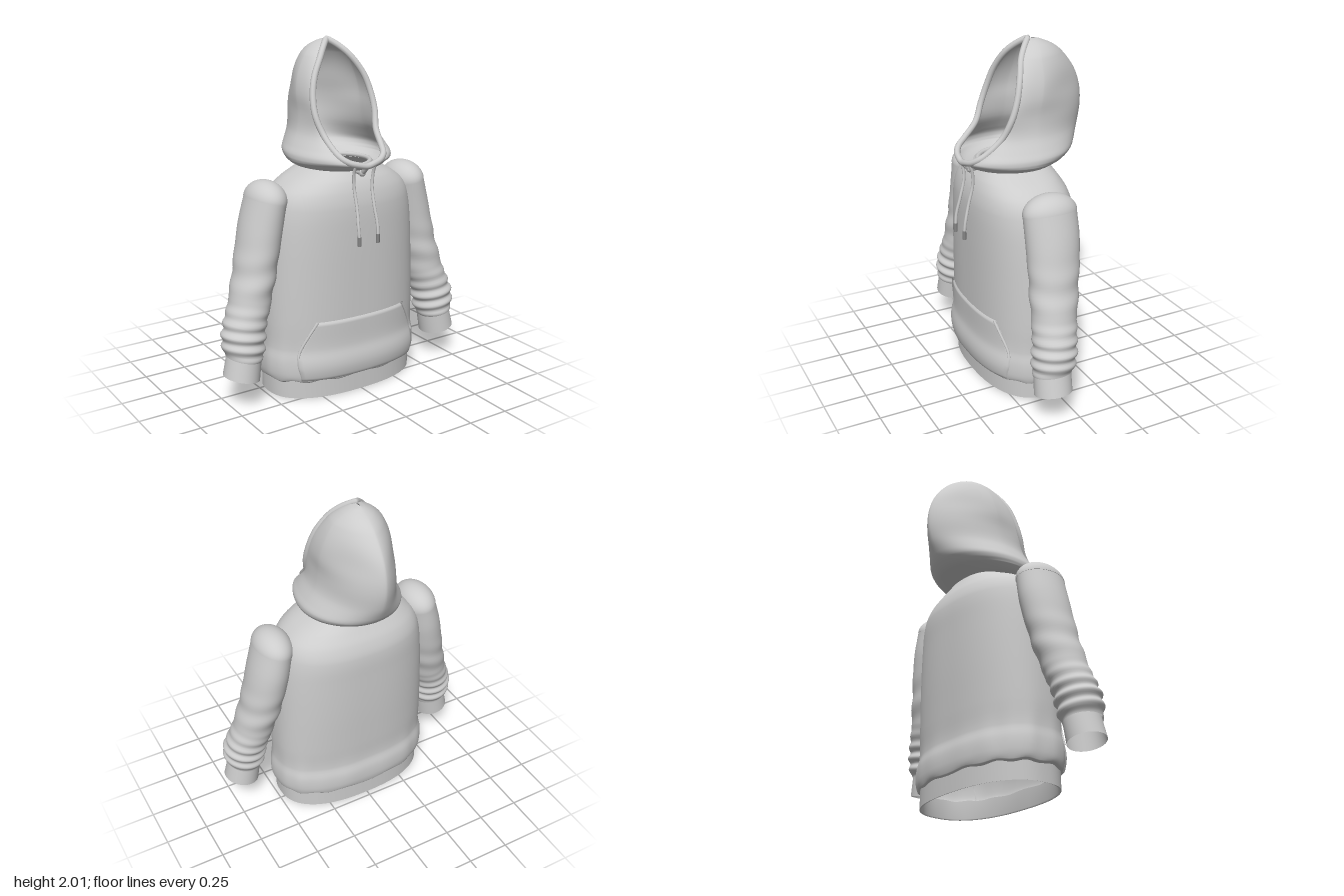
import * as THREE from 'three';

const V = (x, y, z) => new THREE.Vector3(x, y, z);

// smooth lookup in a table of rows [y, a, b, ...] sorted by y
function at(keys, y) {
  let i = 0;
  while (i < keys.length - 2 && y > keys[i + 1][0]) i++;
  const k0 = keys[Math.max(i - 1, 0)], k1 = keys[i], k2 = keys[i + 1], k3 = keys[Math.min(i + 2, keys.length - 1)];
  const h = k2[0] - k1[0], t = (y - k1[0]) / h, t2 = t * t, t3 = t2 * t;
  return k1.slice(1).map((a, j) => {
    const b = k2[j + 1];
    const m1 = (b - k0[j + 1]) / (k2[0] - k0[0]) * h, m2 = (k3[j + 1] - a) / (k3[0] - k1[0]) * h;
    return (2 * t3 - 3 * t2 + 1) * a + (t3 - 2 * t2 + t) * m1 + (3 * t2 - 2 * t3) * b + (t3 - t2) * m2;
  });
}

// heights between the rows of a table
function levels(keys, sub) {
  const out = [];
  for (let i = 0; i < keys.length - 1; i++)
    for (let j = 0; j < sub; j++) out.push(keys[i][0] + (keys[i + 1][0] - keys[i][0]) * j / sub);
  out.push(keys[keys.length - 1][0]);
  return out;
}

// skin over cross-sections
function loft(rows, closed) {
  const n = rows[0].length, pos = [], idx = [];
  rows.forEach(r => r.forEach(p => pos.push(p.x, p.y, p.z)));
  for (let i = 0; i < rows.length - 1; i++)
    for (let j = 0; j < (closed ? n : n - 1); j++) {
      const k = (j + 1) % n, a = i * n + j, b = i * n + k, c = a + n, d = b + n;
      idx.push(a, c, b, b, c, d);
    }
  const g = new THREE.BufferGeometry();
  g.setAttribute('position', new THREE.Float32BufferAttribute(pos, 3));
  g.setIndex(idx);
  g.computeVertexNormals();
  return g;
}

const bump = (x, c, w) => Math.exp(-(((x - c) / w) ** 2));

// body: y, half width, front z, back z
const BODY = [
  [0.1, 0.475, 0.322, -0.215], [0.112, 0.492, 0.338, -0.228], [0.16, 0.502, 0.347, -0.237], [0.23, 0.5, 0.346, -0.234],
  [0.3, 0.488, 0.337, -0.217], [0.45, 0.487, 0.338, -0.222], [0.7, 0.478, 0.34, -0.232], [0.95, 0.463, 0.341, -0.236],
  [1.1, 0.44, 0.337, -0.234], [1.18, 0.405, 0.322, -0.21], [1.24, 0.335, 0.298, -0.175], [1.28, 0.26, 0.27, -0.15],
  [1.315, 0.19, 0.24, -0.13]];
// hood: y, edge x, edge z, side x, side z, back z, sharpness of back
const HOOD = [
  [1.295, 0, 0.27, 0.2, 0.05, -0.13, 1], [1.31, 0, 0.325, 0.25, 0.05, -0.17, 1], [1.335, 0, 0.357, 0.282, 0.05, -0.24, 1],
  [1.345, 0.05, 0.354, 0.287, 0.05, -0.26, 1], [1.36, 0.1, 0.342, 0.291, 0.04, -0.28, 1], [1.385, 0.138, 0.315, 0.288, 0.03, -0.305, 1],
  [1.42, 0.157, 0.27, 0.268, 0.02, -0.328, 1.05], [1.5, 0.176, 0.19, 0.226, 0, -0.365, 1.2], [1.6, 0.198, 0.145, 0.211, -0.01, -0.386, 1.3],
  [1.7, 0.192, 0.11, 0.212, -0.03, -0.379, 1.35], [1.8, 0.163, 0.08, 0.19, -0.05, -0.342, 1.35], [1.9, 0.1, 0.04, 0.142, -0.06, -0.265, 1.3],
  [1.95, 0.055, 0, 0.092, -0.075, -0.2, 1.2], [1.98, 0.018, -0.035, 0.04, -0.08, -0.13, 1.1], [1.99, 0, -0.05, 0.004, -0.075, -0.1, 1]];
// sleeve: y, centre x, centre z, half width, half depth
const SLEEVE = [
  [0.29, 0.675, 0.137, 0.1, 0.11], [0.32, 0.672, 0.133, 0.116, 0.12], [0.4, 0.664, 0.125, 0.123, 0.125], [0.48, 0.645, 0.113, 0.118, 0.125],
  [0.6, 0.603, 0.095, 0.116, 0.13], [0.8, 0.55, 0.07, 0.117, 0.144], [1.0, 0.505, 0.056, 0.117, 0.155], [1.15, 0.472, 0.057, 0.107, 0.156]];
const TILT = 0.22, POWER = 2.4;

function bodyRing(rx, zf, zb, y, ripple = 0) {
  const zc = 0.055, ring = [];
  for (let j = 0; j < 96; j++) {
    const a = j / 96 * Math.PI * 2, c = Math.cos(a), s = Math.sin(a);
    const f = 1 + ripple * (Math.sin(9 * a + 1) + 0.7 * Math.sin(17 * a));
    const x = Math.sign(c) * Math.abs(c) ** (2 / POWER) * rx * f;
    const z = zc + Math.sign(s) * Math.abs(s) ** (2 / POWER) * (s > 0 ? zf - zc : zc - zb) * f;
    ring.push(V(x, y + bump(y, 0.1, 0.02) * 0.006 * Math.sin(13 * a), z));
  }
  return ring;
}

function frontZ(x, y) {
  const [rx, zf] = at(BODY, y);
  return 0.055 + (zf - 0.055) * (1 - Math.min(1, Math.abs(x) / rx) ** POWER) ** (1 / POWER);
}

function sleeveRing(y, cx, cz, hw, hd, s, wrinkle) {
  const ring = [];
  for (let j = 0; j < 48; j++) {
    const a = -s * j / 48 * Math.PI * 2;
    const w = wrinkle ? 0.008 * bump(y, 0.4, 0.13) * Math.sin(y * 95 + 1.3 * Math.sin(a + 0.6))
      + 0.005 * bump(y, 0.72, 0.13) * Math.sin(y * 38 + 2 * Math.cos(a)) : 0;
    const u = Math.cos(a) * (hw + w);
    ring.push(V(s * (cx + u * Math.cos(TILT)), y + u * Math.sin(TILT), cz - Math.sin(a) * (hd + w)));
  }
  return ring;
}

export function createModel() {
  const group = new THREE.Group();
  const fabric = new THREE.MeshStandardMaterial({ color: 0xcccccc, side: THREE.DoubleSide });
  fabric.name = 'light grey fabric';
  const metal = new THREE.MeshStandardMaterial({ color: 0x858585 });
  metal.name = 'dark grey tip';
  const add = (name, geo, mat = fabric) => {
    const m = new THREE.Mesh(geo, mat);
    m.name = name;
    group.add(m);
    return m;
  };
  const tube = (pts, r, closed = false, n = 40) =>
    new THREE.TubeGeometry(new THREE.CatmullRomCurve3(pts, closed), n, r, 10, closed);

  // body and hem band with a folded inner wall
  add('body', loft(levels(BODY, 4).map(y => bodyRing(...at(BODY, y), y, 0.006 * bump(y, 0.22, 0.13))), true));
  add('hemBand', loft([bodyRing(0.475, 0.324, -0.217, 0.115), bodyRing(0.475, 0.324, -0.217, 0)], true));
  add('hemLining', loft([bodyRing(0.475, 0.324, -0.217, 0), bodyRing(0.462, 0.311, -0.204, 0.004),
    bodyRing(0.462, 0.311, -0.204, 0.11)], true));

  // front pocket following the body, with piped openings
  const pocketHalf = y => y < 0.26 ? 0.37 + 0.025 * Math.min(1, (y - 0.1) / 0.1) : 0.395 - 0.105 * ((y - 0.26) / 0.21) ** 1.25;
  const lift = y => 0.009 + 0.008 * bump(y, 0.2, 0.07);
  const rows = [];
  for (let i = 0; i <= 24; i++) {
    const y = 0.105 + 0.365 * i / 24, row = [];
    const end = i === 0 || i === 24;
    for (let j = -21; j <= 21; j++) {
      const rim = Math.abs(j) === 21, x = THREE.MathUtils.clamp(j / 20, -1, 1) * pocketHalf(y);
      row.push(V(x, y, frontZ(x, y) + (rim || end ? -0.008 : lift(y))));
    }
    rows.push(row);
  }
  add('pocket', loft(rows, false));
  for (const s of [-1, 1]) {
    const pts = [];
    for (let i = 0; i <= 8; i++) {
      const y = 0.265 + 0.203 * i / 8, x = s * pocketHalf(y);
      pts.push(V(x, y, frontZ(x, y) + lift(y)));
    }
    add('pocketPiping', tube(pts, 0.008));
  }

  // hood shell
  const hoodRow = y => {
    const [ex, ez, w, zs, zb, p] = at(HOOD, y), half = [];
    const xe = Math.max(0, ex);
    for (let i = 0; i <= 10; i++) {
      const t = i / 10 * Math.PI / 2;
      half.push(V(xe + (w - xe) * Math.sin(t), y, zs + (ez - zs) * Math.cos(t)));
    }
    for (let i = 1; i <= 18; i++) {
      const t = i / 18 * Math.PI / 2;
      const fold = 0.01 * Math.sin(2 * t) ** 2 * Math.sin(y * 17) * bump(y, 1.7, 0.2);
      half.push(V(i === 18 ? 0 : w * Math.cos(t) ** p + fold, y, zs + (zb - zs) * Math.sin(t) ** p));
    }
    const other = half.slice(0, -1).reverse().map(q => V(-q.x, q.y, q.z));
    return [...half, ...other];
  };
  add('hood', loft(levels(HOOD, 4).map(hoodRow), false));

  // piping round the face opening and the neck seam
  const edge = HOOD.slice(2).map(k => V(k[1], k[0], k[2]));
  const mirrored = edge.slice(1, -1).reverse().map(p => V(-p.x, p.y, p.z));
  add('hoodPiping', tube([...edge, ...mirrored], 0.018, true, 160));
  const neck = [];
  for (let i = 0; i < 24; i++) {
    const a = i / 24 * Math.PI * 2;
    neck.push(V(0.193 * Math.cos(a), 1.312, 0.055 + 0.186 * Math.sin(a)));
  }
  add('neckSeam', tube(neck, 0.014, true, 80));
  add('frontTab', tube([V(0, 1.335, 0.355), V(0, 1.295, 0.315), V(0, 1.29, 0.25)], 0.016));
  const knot = add('tabEnd', new THREE.SphereGeometry(0.02, 16, 12));
  knot.position.set(0, 1.292, 0.312);
  knot.scale.y = 1.2;

  // drawstrings with tips
  for (const s of [-1, 1]) {
    add('drawstring', tube([V(s * 0.067, 1.345, 0.345), V(s * 0.065, 1.29, 0.325), V(s * 0.06, 1.21, 0.322),
      V(s * 0.058, 1.1, 0.348), V(s * 0.064, 1.0, 0.372), V(s * 0.062, 0.93, 0.38)], 0.009));
    const tip = add('drawstringTip', new THREE.CylinderGeometry(0.011, 0.011, 0.052, 14), metal);
    tip.position.set(s * 0.062, 0.92, 0.38);
  }

  // sleeves, shoulder caps and cuffs
  for (const s of [-1, 1]) {
    add('sleeve', loft(levels(SLEEVE, 10).map(y => sleeveRing(y, ...at(SLEEVE, y), s, true)), true));
    const cap = add('shoulderCap', new THREE.SphereGeometry(1, 40, 14, 0, Math.PI * 2, 0, Math.PI / 2));
    cap.position.set(s * 0.472, 1.15, 0.057);
    cap.scale.set(0.109, 0.11, 0.158);
    cap.rotation.z = s * TILT;
    add('cuff', loft([sleeveRing(0.3, 0.668, 0.137, 0.097, 0.106, s), sleeveRing(0.178, 0.692, 0.143, 0.104, 0.108, s)], true));
  }
  return group;
}
